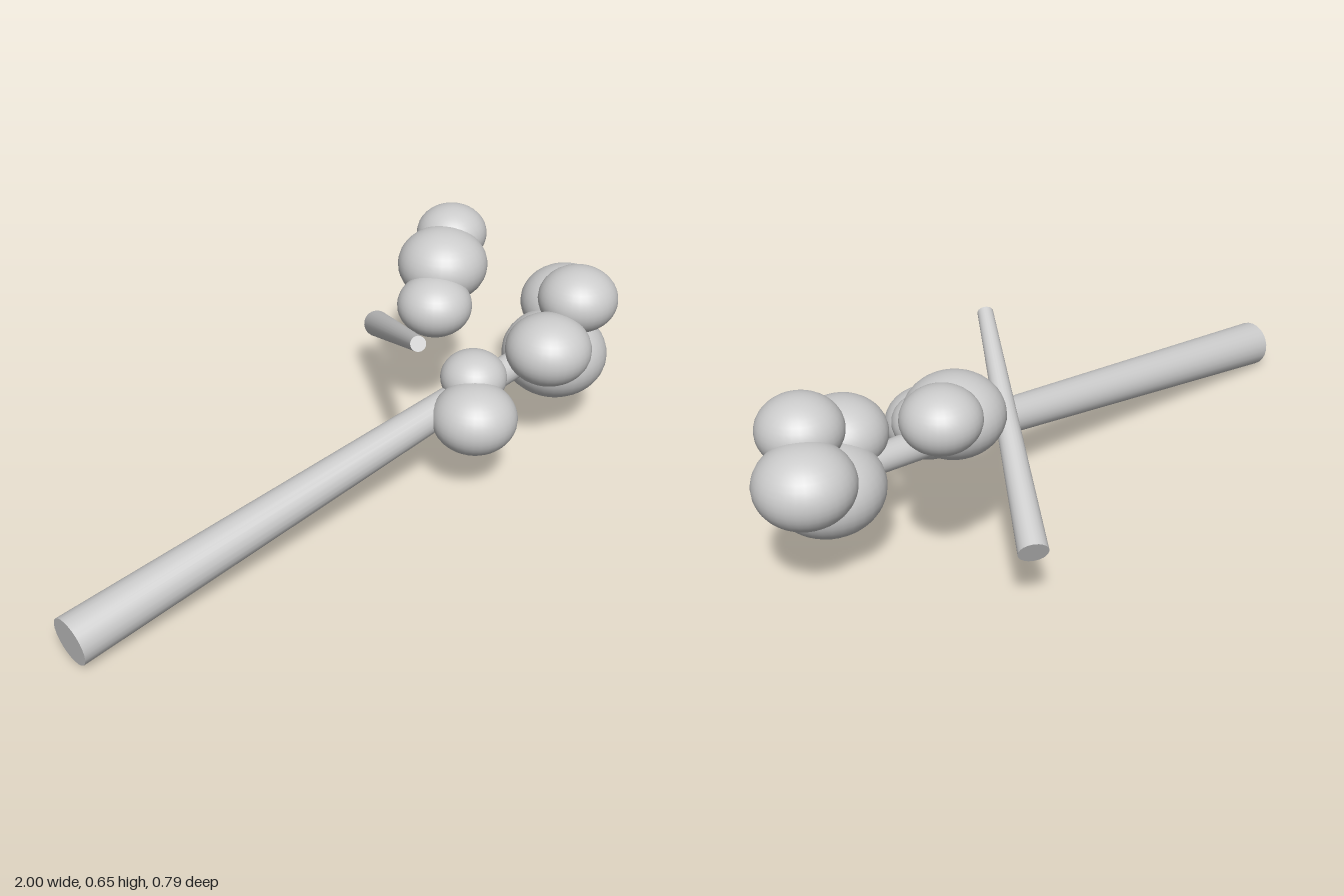
import * as THREE from 'three';

const bark = new THREE.MeshStandardMaterial({ color: 0xcccccc });
bark.name = 'pale grey';

// Tapered round limb between two points
function limb(name, a, b, ra, rb) {
  const start = new THREE.Vector3(...a), end = new THREE.Vector3(...b);
  const dir = end.clone().sub(start);
  const mesh = new THREE.Mesh(new THREE.CylinderGeometry(rb, ra, dir.length(), 24), bark);
  mesh.name = name;
  mesh.position.copy(start).add(end).multiplyScalar(0.5);
  mesh.quaternion.setFromUnitVectors(new THREE.Vector3(0, 1, 0), dir.normalize());
  return mesh;
}

// Cluster of flattened leaf balls, each [x, y, z, radius]
function cluster(name, balls) {
  const group = new THREE.Group();
  group.name = name;
  balls.forEach(([x, y, z, r], i) => {
    const ball = new THREE.Mesh(new THREE.SphereGeometry(r, 32, 20), bark);
    ball.name = `leafBall${i + 1}`;
    ball.scale.y = 0.82;
    ball.position.set(x, y, z);
    group.add(ball);
  });
  return group;
}

export function createModel() {
  const model = new THREE.Group();
  model.name = 'fallenTree';

  // Leaning trunk, its thinner upper part and the loose crossing branch
  model.add(limb('trunk', [-0.99, 0.073, 0.172], [0.36, 0.268, 0.172], 0.069, 0.047));
  model.add(limb('upperTrunk', [0.33, 0.265, 0.172], [0.72, 0.3, 0.165], 0.046, 0.038));
  model.add(limb('crossBranch', [0.505, 0.216, -0.37], [0.12, 0.55, 0.23], 0.041, 0.022));

  // Foliage
  model.add(cluster('lowerFoliage', [
    [0.31, 0.256, 0.27, 0.123],
    [0.385, 0.322, 0.185, 0.096],
  ]));
  model.add(cluster('crownFoliage', [
    [0.735, 0.27, 0.173, 0.157],
    [0.622, 0.356, 0.25, 0.126],
    [0.783, 0.45, 0.207, 0.118],
    [0.86, 0.367, 0.092, 0.136],
  ]));
  model.add(cluster('backFoliage', [
    [0.43, 0.45, -0.034, 0.11],
    [0.53, 0.523, -0.11, 0.133],
    [0.625, 0.572, -0.174, 0.105],
  ]));
  return model;
}
